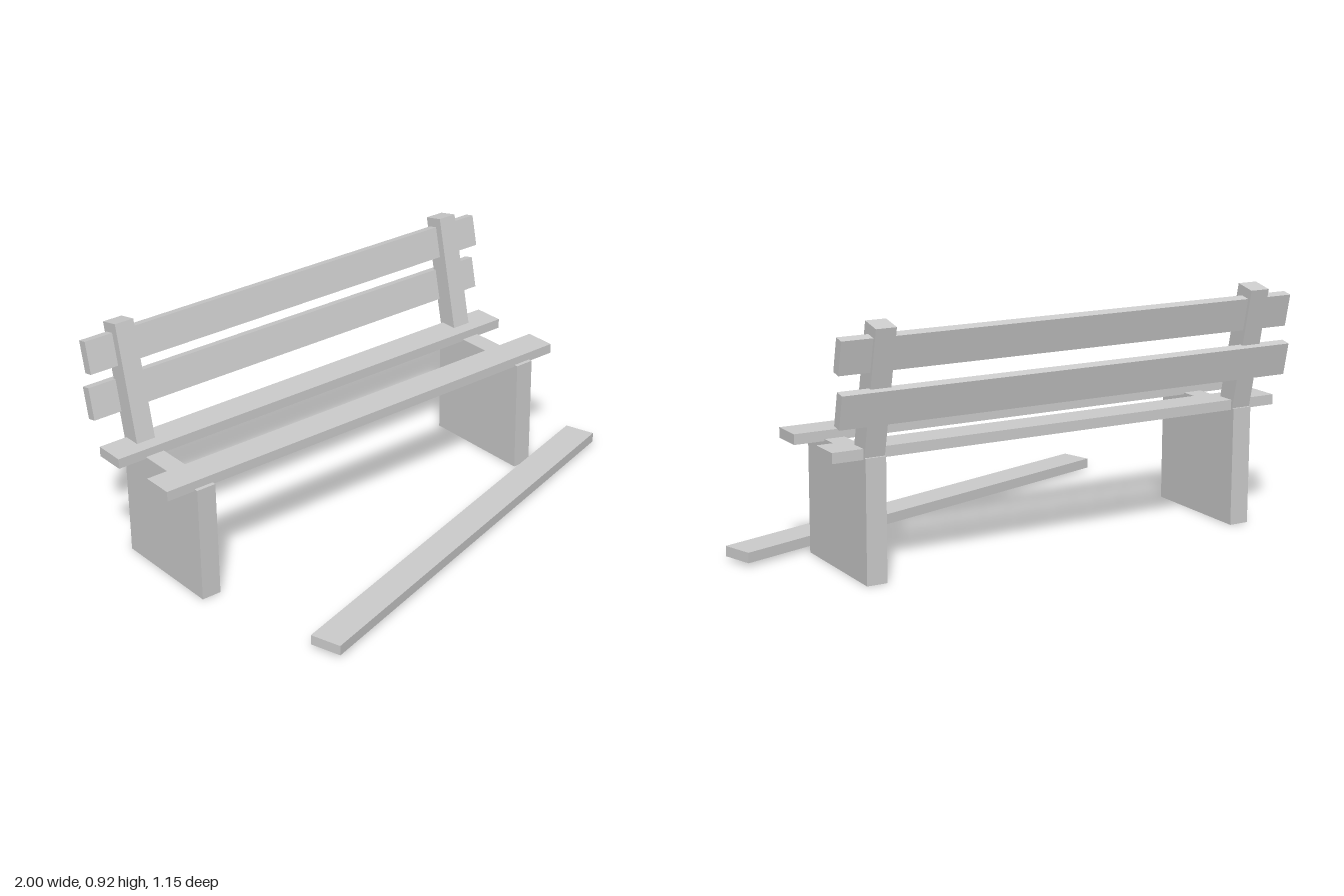
import * as THREE from 'three';

export function createModel() {
  const bench = new THREE.Group();
  bench.name = 'brokenBench';
  const grey = new THREE.MeshStandardMaterial({ color: 0xcccccc });
  grey.name = 'plain grey';

  const box = (name, size, position, rotX = 0, rotY = 0) => {
    const mesh = new THREE.Mesh(new THREE.BoxGeometry(...size), grey);
    mesh.name = name;
    mesh.position.set(...position);
    mesh.rotation.set(rotX, rotY, 0);
    bench.add(mesh);
  };

  const lean = -0.21; // backward tilt of the backrest
  const length = 1.82, width = 0.122, thick = 0.038; // every plank
  const midX = -0.09;

  // Solid end supports, each with a leaning back post
  for (const [side, x] of [['right', -0.848], ['left', 0.665]]) {
    box(side + 'Support', [0.077, 0.445, 0.455], [x, 0.2225, -0.258]);
    box(side + 'BackPost', [0.077, 0.47, 0.08], [x, 0.677, -0.485], lean);
  }

  // Seat planks, with a gap where the middle one is missing
  box('frontSeatPlank', [length, thick, width], [midX, 0.457, -0.107]);
  box('rearSeatPlank', [length, thick, width], [midX, 0.457, -0.409]);

  // Backrest planks
  box('upperBackPlank', [length, width, thick], [midX, 0.81, -0.523], lean);
  box('lowerBackPlank', [length, width, thick], [midX, 0.628, -0.523], lean);

  // Loose plank lying on the ground
  box('fallenPlank', [length, thick, width], [0.111, 0.031, 0.246], 0, 0.299);

  return bench;
}
